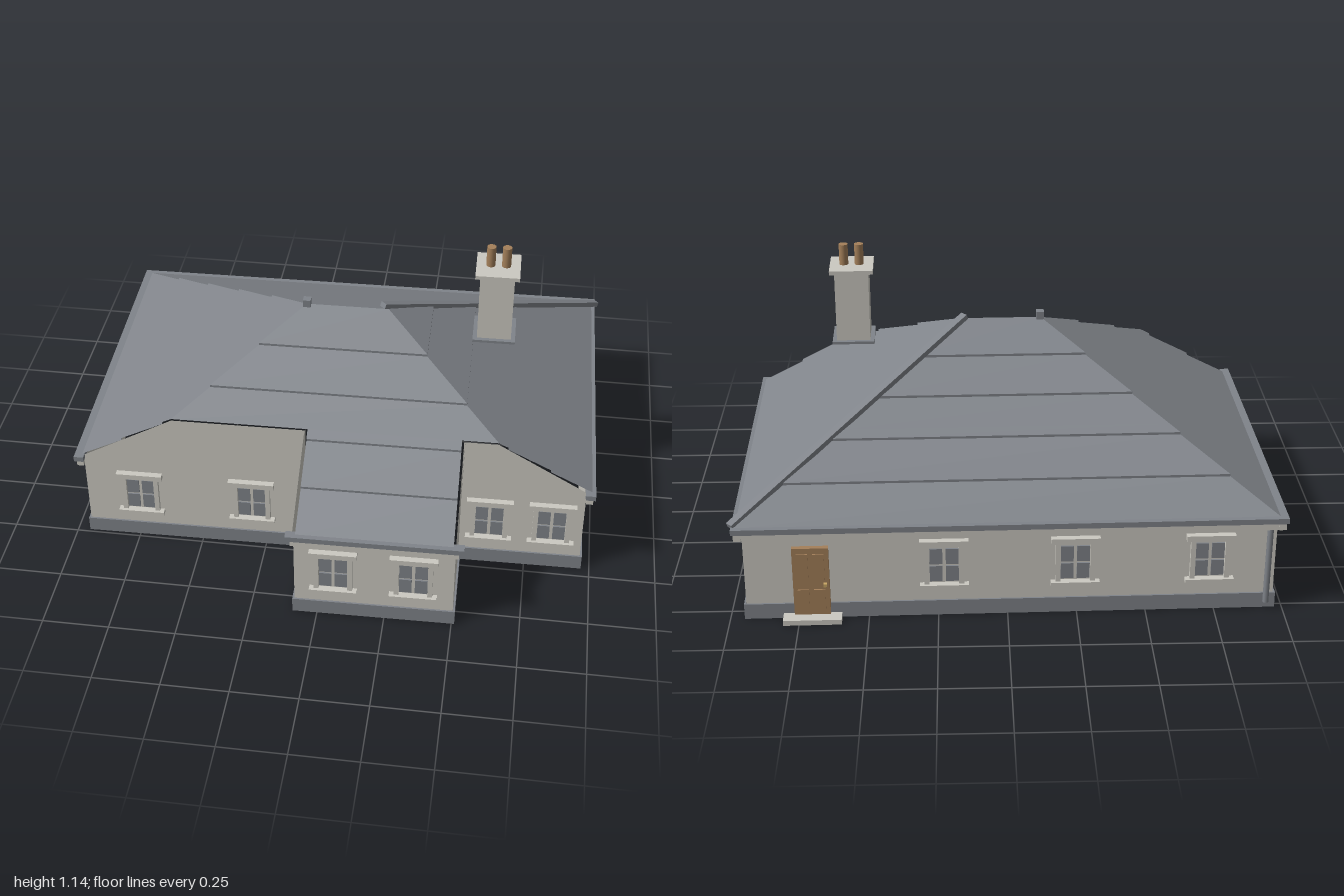
import * as THREE from 'three';

const mat = (name, color, side = THREE.FrontSide) => {
  const m = new THREE.MeshStandardMaterial({ color, side });
  m.name = name;
  return m;
};

export function createModel() {
  const render = mat('pale render', 0xcbc9c1, THREE.DoubleSide);
  const slate = mat('grey slate', 0x80848a, THREE.DoubleSide);
  const wood = mat('brown wood', 0xa4805a);
  const brass = mat('pale brass', 0xc9a765);

  const model = new THREE.Group();
  const house = new THREE.Group();
  house.name = 'house';
  house.rotation.y = 0.016; // the house stands slightly askew
  model.add(house);

  const add = (name, geo, material, parent = house) => {
    const m = new THREE.Mesh(geo, material);
    m.name = name;
    parent.add(m);
    return m;
  };
  // box given by its limits on each axis
  const box = (name, material, [x0, x1], [y0, y1], [z0, z1], parent = house) => {
    const m = add(name, new THREE.BoxGeometry(x1 - x0, y1 - y0, z1 - z0), material, parent);
    m.position.set((x0 + x1) / 2, (y0 + y1) / 2, (z0 + z1) / 2);
    return m;
  };
  // flat convex faces, each a list of corners
  const faces = (name, list, material) => {
    const pos = [];
    for (const p of list)
      for (let i = 1; i < p.length - 1; i++) pos.push(...p[0], ...p[i], ...p[i + 1]);
    const g = new THREE.BufferGeometry();
    g.setAttribute('position', new THREE.Float32BufferAttribute(pos, 3));
    g.computeVertexNormals();
    return add(name, g, material);
  };

  // main dimensions
  const W = 0.953, BACK = -0.778, FRONT = 0.465, PORCH = 0.815, PL = -0.097, PR = 0.49;
  const RIDGE = 0.83, EAVE = 0.37, RZ = 0.013, RL = -0.15, RR = 0.165, RUN = 0.812;
  const slopeY = (t) => RIDGE - (RIDGE - EAVE) * t;
  const tCut = (FRONT - RZ) / RUN, yCut = slopeY(tCut);
  const yPorch = slopeY((PORCH - RZ) / RUN);
  const ySide = slopeY((W + RL) / RUN);

  // walls
  const cutL = RL - RUN * tCut, cutR = RR + RUN * tCut;
  faces('frontWall', [
    [[-W, 0, FRONT], [PL, 0, FRONT], [PL, yCut, FRONT], [cutL, yCut, FRONT], [-W, ySide, FRONT]],
    [[PR, 0, FRONT], [W, 0, FRONT], [W, ySide, FRONT], [cutR, yCut, FRONT], [PR, yCut, FRONT]],
  ], render);
  faces('backWall', [[[W, 0, BACK], [-W, 0, BACK], [-W, EAVE, BACK], [W, EAVE, BACK]]], render);
  faces('sideWalls', [
    [[W, 0, FRONT], [W, 0, BACK], [W, ySide, BACK], [W, ySide, FRONT]],
    [[-W, 0, BACK], [-W, 0, FRONT], [-W, ySide, FRONT], [-W, ySide, BACK]],
  ], render);
  faces('porchWalls', [
    [[PL, 0, PORCH], [PR, 0, PORCH], [PR, yPorch, PORCH], [PL, yPorch, PORCH]],
    [[PR, 0, PORCH], [PR, 0, FRONT], [PR, yCut + 0.01, FRONT], [PR, yPorch + 0.01, PORCH]],
    [[PL, 0, FRONT], [PL, 0, PORCH], [PL, yPorch + 0.01, PORCH], [PL, yCut + 0.01, FRONT]],
  ], render);

  // plinth: a band following the footprint
  const outline = (o) => [
    [-W - o, BACK - o], [W + o, BACK - o], [W + o, FRONT + o], [PR + o, FRONT + o],
    [PR + o, PORCH + o], [PL - o, PORCH + o], [PL - o, FRONT + o], [-W - o, FRONT + o],
  ].map(([x, z]) => new THREE.Vector2(x, -z));
  const band = new THREE.Shape(outline(0.008));
  band.holes.push(new THREE.Path(outline(0.001)));
  add('plinth', new THREE.ExtrudeGeometry(band, { depth: 0.06, bevelEnabled: false }).rotateX(-Math.PI / 2), slate);

  // roof: five overlapping courses, cut off at the front wall except over the porch
  const LIFT = 0.009, N = 5;
  const row = (t, y) => {
    const xl = RL - RUN * t, xr = RR + RUN * t, zb = RZ - RUN * t, zf = RZ + RUN * t;
    const zc = Math.min(zf, FRONT);
    return {
      left: [[xl, y, zb], [xl, y, zc]],
      right: [[xr, y, zc], [xr, y, zb]],
      back: [[xr, y, zb], [xl, y, zb]],
      front: [[xl, y, zf], [xr, y, zf]],
      porch: [[PL + 0.008, y, zf], [PR - 0.008, y, zf]],
    };
  };
  const quads = { left: [], right: [], back: [], front: [] };
  const strip = (t0, y0, t1, y1) => {
    const a = row(t0, y0), b = row(t1, y1);
    for (const side in quads) {
      const k = side === 'front' && t0 >= tCut - 1e-6 ? 'porch' : side;
      quads[side].push([b[k][0], b[k][1], a[k][1], a[k][0]]);
    }
  };
  for (let i = 0; i < N; i++) {
    const t0 = i / N, t1 = (i + 1) / N;
    const y = (t) => slopeY(t) + LIFT * (t - t0) * N;
    const stops = tCut > t0 && tCut < t1 ? [t0, tCut, t1] : [t0, t1];
    for (let j = 1; j < stops.length; j++) strip(stops[j - 1], y(stops[j - 1]), stops[j], y(stops[j]));
    strip(t1, y(t1), t1, slopeY(t1) - 0.001);
  }
  for (const side in quads) faces(side + 'RoofSlope', quads[side], slate);

  // hip capping and ridge end
  const hipA = new THREE.Vector3(RR - 0.008, RIDGE + 0.012, RZ + 0.008);
  const hipB = new THREE.Vector3(RR + RUN, EAVE + 0.012, RZ - RUN);
  const hip = add('hipCapping', new THREE.BoxGeometry(0.03, 0.02, hipA.distanceTo(hipB)), slate);
  hip.position.copy(hipA).add(hipB).multiplyScalar(0.5);
  hip.lookAt(hipB);
  box('ridgeEnd', slate, [-0.163, -0.133], [0.825, 0.855], [0, 0.03]);

  // eaves: pale fascia with a slate gutter on top
  const eaves = (name, x, z, gx, gz) => {
    box(name + 'Fascia', render, x, [0.333, 0.362], z);
    box(name + 'Gutter', slate, gx, [0.36, 0.381], gz);
  };
  eaves('right', [W, 0.979], [-0.81, 0.48], [0.95, 0.987], [-0.815, 0.49]);
  eaves('left', [-0.979, -W], [-0.81, 0.48], [-0.987, -0.95], [-0.815, 0.49]);
  eaves('back', [-0.979, 0.979], [-0.808, BACK], [-0.987, 0.987], [-0.815, -0.78]);
  eaves('porch', [-0.108, 0.502], [PORCH, 0.832], [-0.125, 0.521], [0.806, 0.84]);

  // sloping verge boards on the porch sides
  const vergeFall = 0.04;
  for (const x of [PL - 0.004, PR + 0.004])
    faces('porchVerge', [[[x, yCut, FRONT], [x, yPorch, PORCH],
      [x, yPorch - vergeFall, PORCH], [x, yCut - vergeFall, FRONT]]], render);

  // windows: four panes, jambs, lintel and sill
  const addWindow = (x, z, turn, lift = 0) => {
    const g = new THREE.Group();
    g.name = 'window';
    g.position.set(x, lift, z);
    g.rotation.y = turn;
    house.add(g);
    for (const s of [-1, 1]) {
      for (const y of [0.17, 0.24])
        box('pane', slate, [s * 0.029 - 0.023, s * 0.029 + 0.023], [y - 0.031, y + 0.031], [0, 0.006], g);
      box('jamb', render, [s * 0.062 - 0.009, s * 0.062 + 0.009], [0.13, 0.292], [0, 0.015], g);
    }
    box('lintel', render, [-0.088, 0.088], [0.288, 0.31], [0, 0.024], g);
    box('sill', render, [-0.088, 0.088], [0.116, 0.132], [0, 0.026], g);
  };
  for (const x of [-0.742, -0.309, 0.6, 0.835]) addWindow(x, FRONT, 0);
  for (const x of [0.048, 0.342]) addWindow(x, PORCH, 0);
  for (const x of [-0.715, -0.23, 0.24]) addWindow(x, BACK, Math.PI);
  addWindow(W, -0.15, Math.PI / 2, 0.01);
  addWindow(-W, -0.15, -Math.PI / 2, 0.01);

  // back door with panels, handle and step
  const DX = 0.715;
  box('door', wood, [DX - 0.065, DX + 0.065], [0.02, 0.292], [-0.797, BACK]);
  for (const s of [-1, 1])
    for (const [y0, y1] of [[0.045, 0.125], [0.165, 0.27]])
      box('doorPanel', wood, [DX + s * 0.029 - 0.02, DX + s * 0.029 + 0.02], [y0, y1], [-0.802, -0.796]);
  box('doorHandle', brass, [DX - 0.056, DX - 0.044], [0.14, 0.152], [-0.81, -0.796]);
  box('doorStep', render, [DX - 0.105, DX + 0.105], [0, 0.02], [-0.838, BACK]);

  // downpipe on the back corner
  const pipe = add('downpipe', new THREE.CylinderGeometry(0.011, 0.011, 0.33, 10), slate);
  pipe.position.set(-0.925, 0.195, -0.797);

  // chimney
  const CX = 0.57, CZ = 0.014;
  const stack = (name, material, r, y0, y1) =>
    box(name, material, [CX - r, CX + r], [y0, y1], [CZ - r, CZ + r]);
  stack('chimneyBase', slate, 0.08, 0.762, 0.772);
  stack('chimneyStack', render, 0.064, 0.772, 1.045);
  stack('chimneyCap', render, 0.082, 1.045, 1.06);
  for (const s of [-1, 1]) {
    const pot = add('chimneyPot', new THREE.CylinderGeometry(0.017, 0.017, 0.08, 16), wood);
    pot.position.set(CX + s * 0.029, 1.1, CZ);
  }
  return model;
}
